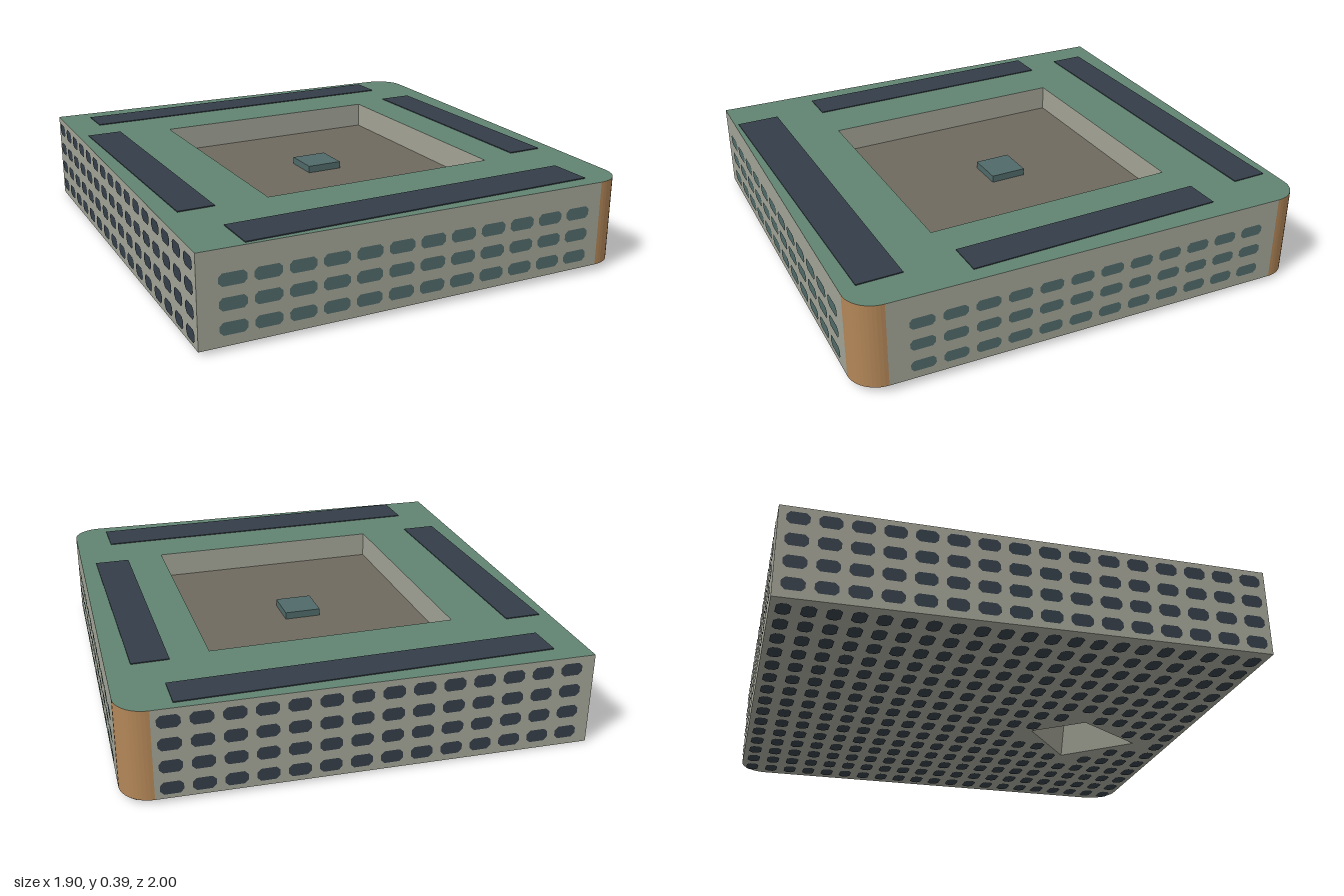
import * as THREE from 'three';
import { mergeGeometries } from 'three/addons/utils/BufferGeometryUtils.js';

const TOP = 0.385, FLOOR = 0.275, R = 0.12;
const V = (x, z) => new THREE.Vector2(x, z); // plan point (x, z)
const FL = V(-0.95, 0.94), FR = V(0.89, 1.0), BR = V(0.95, -0.94), BL = V(-0.89, -1.0);
const groundY = (x, z) => 0.016 + 0.0075 * x + 0.007 * z; // slightly sloping underside

const mat = (name, color) => {
  const m = new THREE.MeshStandardMaterial({ color, side: THREE.DoubleSide });
  m.name = name;
  return m;
};

// Vertical or sloping band between two rings of plan points
function band(lower, upper, yLow, yHigh) {
  const pos = [];
  for (let i = 0; i < lower.length - 1; i++) {
    const [a, b, c, d] = [lower[i], lower[i + 1], upper[i + 1], upper[i]];
    const A = [a.x, yLow(a.x, a.y), a.y], B = [b.x, yLow(b.x, b.y), b.y];
    const C = [c.x, yHigh, c.y], D = [d.x, yHigh, d.y];
    pos.push(...A, ...B, ...C, ...A, ...C, ...D);
  }
  const g = new THREE.BufferGeometry();
  g.setAttribute('position', new THREE.Float32BufferAttribute(pos, 3));
  g.computeVertexNormals();
  return g;
}

// Rounded corner arc in plan, from edge direction u to edge direction v
function cornerArc(c, u, v) {
  const o = c.clone().addScaledVector(u, -R).addScaledVector(v, R);
  return Array.from({ length: 13 }, (_, i) => {
    const t = (i / 12) * Math.PI / 2;
    return o.clone().addScaledVector(v, -R * Math.cos(t)).addScaledVector(u, R * Math.sin(t));
  });
}

// Flat plan shape facing up or down
function slab(outline, hole, up) {
  const s = up ? -1 : 1;
  const conv = (pts) => pts.map((p) => V(p.x, s * p.y));
  const shape = new THREE.Shape(conv(outline));
  if (hole) shape.holes.push(new THREE.Path(conv(hole)));
  return new THREE.ShapeGeometry(shape).rotateX(s * Math.PI / 2);
}

// Window pane with cut corners, facing +z
function pane(w, h) {
  const c = h * 0.28, x = w / 2, y = h / 2;
  return new THREE.ShapeGeometry(new THREE.Shape([
    V(-x + c, -y), V(x - c, -y), V(x, -y + c), V(x, y - c),
    V(x - c, y), V(-x + c, y), V(-x, y - c), V(-x, -y + c)]));
}

// Window grid along the wall running from a to b
function wallWindows(a, b, { start, pitch, count, w, h, rows }) {
  const u = b.clone().sub(a).normalize(), n = V(-u.y, u.x), list = [];
  for (const y of rows) for (let i = 0; i < count; i++) {
    const p = a.clone().addScaledVector(u, start + i * pitch + w / 2).addScaledVector(n, 0.003);
    list.push(pane(w, h).rotateY(Math.atan2(-u.y, u.x)).translate(p.x, y, p.y));
  }
  return mergeGeometries(list);
}

export function createModel() {
  const group = new THREE.Group();
  const wall = mat('wall grey', 0xa2a396), green = mat('roof green', 0x628472);
  const tan = mat('courtyard brown', 0x6f695e), orange = mat('corner orange', 0xb28657);
  const dark = mat('dark slate', 0x343e48), teal = mat('window teal', 0x506a69);
  const add = (name, geo, m) => {
    const mesh = new THREE.Mesh(geo, m);
    mesh.name = name;
    group.add(mesh);
    return mesh;
  };

  // Plan outline with two rounded corners
  const dir = (a, b) => b.clone().sub(a).normalize();
  const arcF = cornerArc(FR, dir(FL, FR), dir(FR, BR));
  const arcB = cornerArc(BR, dir(FR, BR), dir(BR, BL));
  const outline = [FL, ...arcF, ...arcB, BL];
  const runs = {
    frontWall: [FL, arcF[0]], rightWall: [arcF[12], arcB[0]],
    backWall: [arcB[12], BL], leftWall: [BL, FL],
  };
  for (const [name, r] of Object.entries(runs)) add(name, band(r, r, groundY, TOP), wall);
  add('frontCorner', band(arcF, arcF, groundY, TOP), orange);
  add('backCorner', band(arcB, arcB, groundY, TOP), orange);

  // Roof with sunken courtyard
  const yard = [V(-0.49, 0.54), V(0.53, 0.54), V(0.53, -0.54), V(-0.49, -0.54)];
  add('roof', slab(outline, yard, true).translate(0, TOP, 0), green);
  const yardRing = [...yard, yard[0]].reverse();
  add('courtyardWalls', band(yardRing, yardRing, () => FLOOR, TOP), wall);
  add('courtyardFloor', slab(yard, null, true).translate(0, FLOOR, 0), tan);
  add('courtyardBlock', new THREE.BoxGeometry(0.155, 0.03, 0.155).translate(0.02, FLOOR + 0.015, -0.03), teal);

  // Dark roof strips: x0, x1, z0, z1
  for (const [x0, x1, z0, z1] of [[-0.76, 0.74, -0.91, -0.76], [-0.76, 0.74, 0.745, 0.93],
    [-0.86, -0.71, -0.6, 0.54], [0.69, 0.84, -0.57, 0.51]]) {
    add('roofStrip', new THREE.BoxGeometry(x1 - x0, 0.004, z1 - z0)
      .translate((x0 + x1) / 2, TOP + 0.002, (z0 + z1) / 2), dark);
  }

  // Underside with a skewed recess
  const hole = [V(0.32, 0.53), V(0.06, 0.29), V(-0.1, 0.49), V(0.08, 0.8)];
  const mid = V(0.09, 0.53);
  const inner = hole.map((p) => p.clone().lerp(mid, 0.25));
  const underside = slab(outline, hole, false);
  const drape = (g, off) => {
    const p = g.attributes.position;
    for (let i = 0; i < p.count; i++) p.setY(i, groundY(p.getX(i), p.getZ(i)) - off);
    return g;
  };
  add('underside', drape(underside, 0), wall);
  add('recessWalls', band([...hole, hole[0]], [...inner, inner[0]], groundY, 0.17), wall);
  add('recessCeiling', slab(inner, null, false).translate(0, 0.17, 0), wall);

  // Underside panes, skipping the recess
  const nearHole = (x, z) => hole.every((p, i) => {
    const q = hole[(i + 1) % 4], e = dir(p, q);
    return e.x * (z - p.y) - e.y * (x - p.x) < 0.05;
  });
  const panes = [], ex = dir(FL, FR), ez = dir(BL, FL);
  for (let r = 0; r < 21; r++) for (let c = 0; c < 15; c++) {
    const p = BL.clone().addScaledVector(ex, 0.08 + c * 0.12).addScaledVector(ez, 0.05 + r * 0.092);
    if (nearHole(p.x, p.y)) continue;
    panes.push(drape(pane(0.085, 0.055).rotateX(Math.PI / 2).translate(p.x, 0, p.y), 0.003));
  }
  add('undersidePanes', mergeGeometries(panes), dark);

  // Wall windows: three teal rows in front and right, four dark rows behind and left
  const three = [0.27, 0.178, 0.085], four = [0.335, 0.243, 0.151, 0.06];
  add('frontWindows', wallWindows(FL, FR,
    { start: 0.08, pitch: 0.134, count: 12, w: 0.108, h: 0.05, rows: three }), teal);
  add('rightWindows', wallWindows(FR, BR,
    { start: 0.205, pitch: 0.131, count: 12, w: 0.1, h: 0.046, rows: three }), teal);
  add('backWindows', wallWindows(BR, BL,
    { start: 0.14, pitch: 0.12, count: 14, w: 0.088, h: 0.052, rows: four }), dark);
  add('leftWindows', wallWindows(BL, FL,
    { start: 0.03, pitch: 0.12, count: 16, w: 0.088, h: 0.052, rows: four }), dark);
  return group;
}
